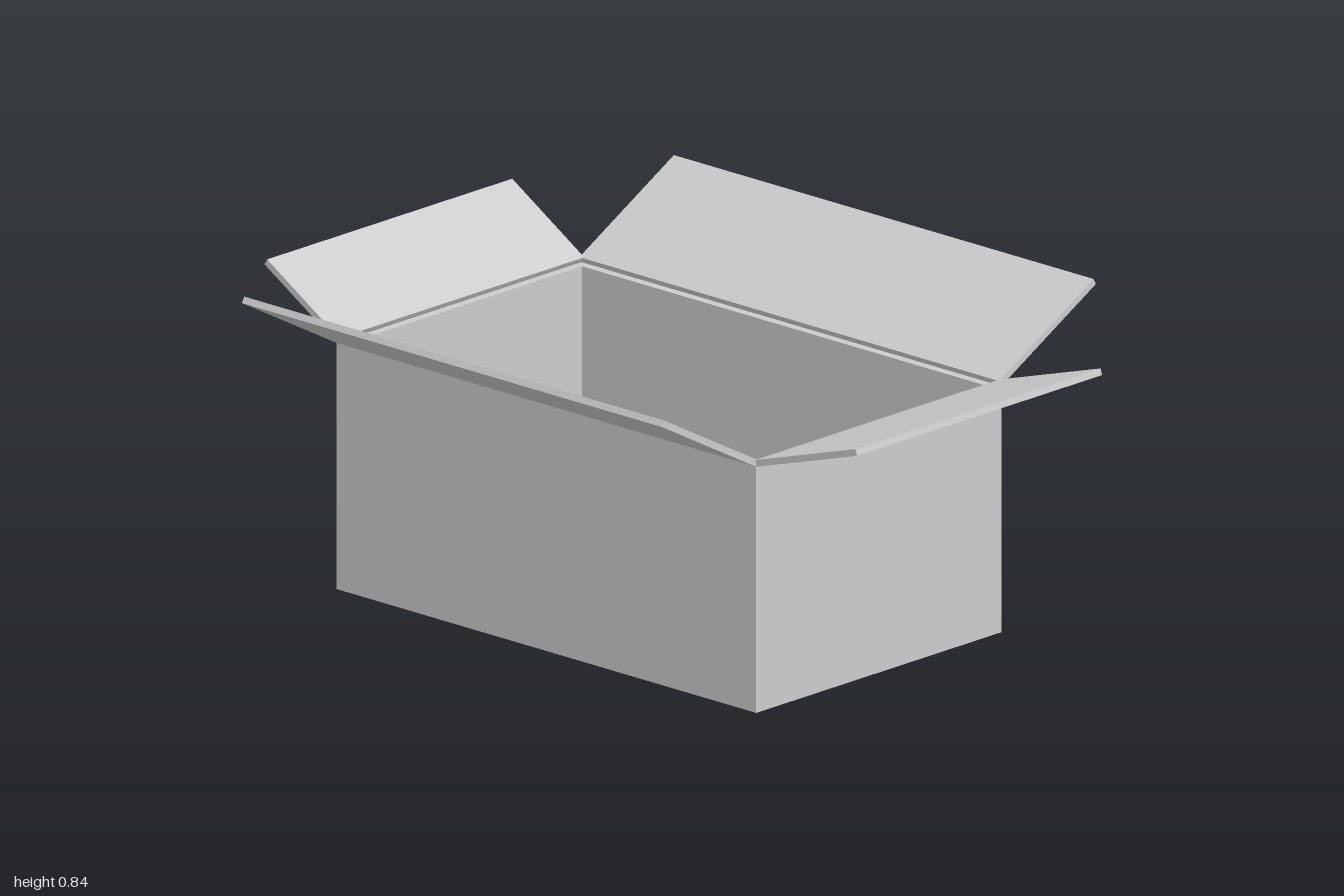
import * as THREE from 'three';

const material = new THREE.MeshStandardMaterial({ color: 0xcccccc });
const X0 = -0.757, X1 = 0.66, Z = 0.437, TOP = 0.647, WALL = 0.023, CARD = 0.017;

// Rectangular loop at height y, drawn in by inset
function ring(y, inset) {
  const a = X0 + inset, b = X1 - inset, c = Z - inset;
  return [[a, y, c], [b, y, c], [b, y, -c], [a, y, -c]];
}

// Open box: one skin running up the outside, over the rim and down to the floor
function makeBody() {
  const rings = [ring(0, 0.035), ring(0.012, 0), ring(TOP, 0), ring(TOP, WALL), ring(0.02, WALL)];
  const points = [];
  const quad = (a, b, c, d) => points.push(...a, ...b, ...c, ...a, ...c, ...d);
  for (let i = 0; i < rings.length - 1; i++) {
    for (let j = 0; j < 4; j++) {
      const k = (j + 1) % 4;
      quad(rings[i][j], rings[i][k], rings[i + 1][k], rings[i + 1][j]);
    }
  }
  quad(...[...rings[0]].reverse()); // underside
  quad(...rings[rings.length - 1]); // inner floor
  const geometry = new THREE.BufferGeometry();
  geometry.setAttribute('position', new THREE.Float32BufferAttribute(points, 3));
  geometry.computeVertexNormals();
  const mesh = new THREE.Mesh(geometry, material);
  mesh.name = 'boxBody';
  return mesh;
}

// Card flap hinged on a rim edge; run and rise give its open tip, turn its side
function makeFlap(name, x, z, turn, width, run, rise) {
  const length = Math.hypot(run, rise);
  const geometry = new THREE.BoxGeometry(length, CARD, width);
  geometry.translate(length / 2, CARD / 2, 0);
  geometry.rotateZ(Math.atan2(rise, run));
  const mesh = new THREE.Mesh(geometry, material);
  mesh.position.set(x, TOP, z);
  mesh.rotation.y = turn;
  mesh.name = name;
  return mesh;
}

export function createModel() {
  const group = new THREE.Group();
  group.name = 'openCardboardBox';
  const mid = (X0 + X1) / 2, long = X1 - X0, short = Z * 2;
  group.add(
    makeBody(),
    makeFlap('frontFlap', mid, Z, -Math.PI / 2, long, 0.337, 0.183),
    makeFlap('backFlap', mid, -Z, Math.PI / 2, long, 0.337, 0.183),
    makeFlap('leftFlap', X1, 0, 0, short, 0.34, 0.105),
    makeFlap('rightFlap', X0, 0, Math.PI, short, 0.243, 0.148),
  );
  return group;
}
